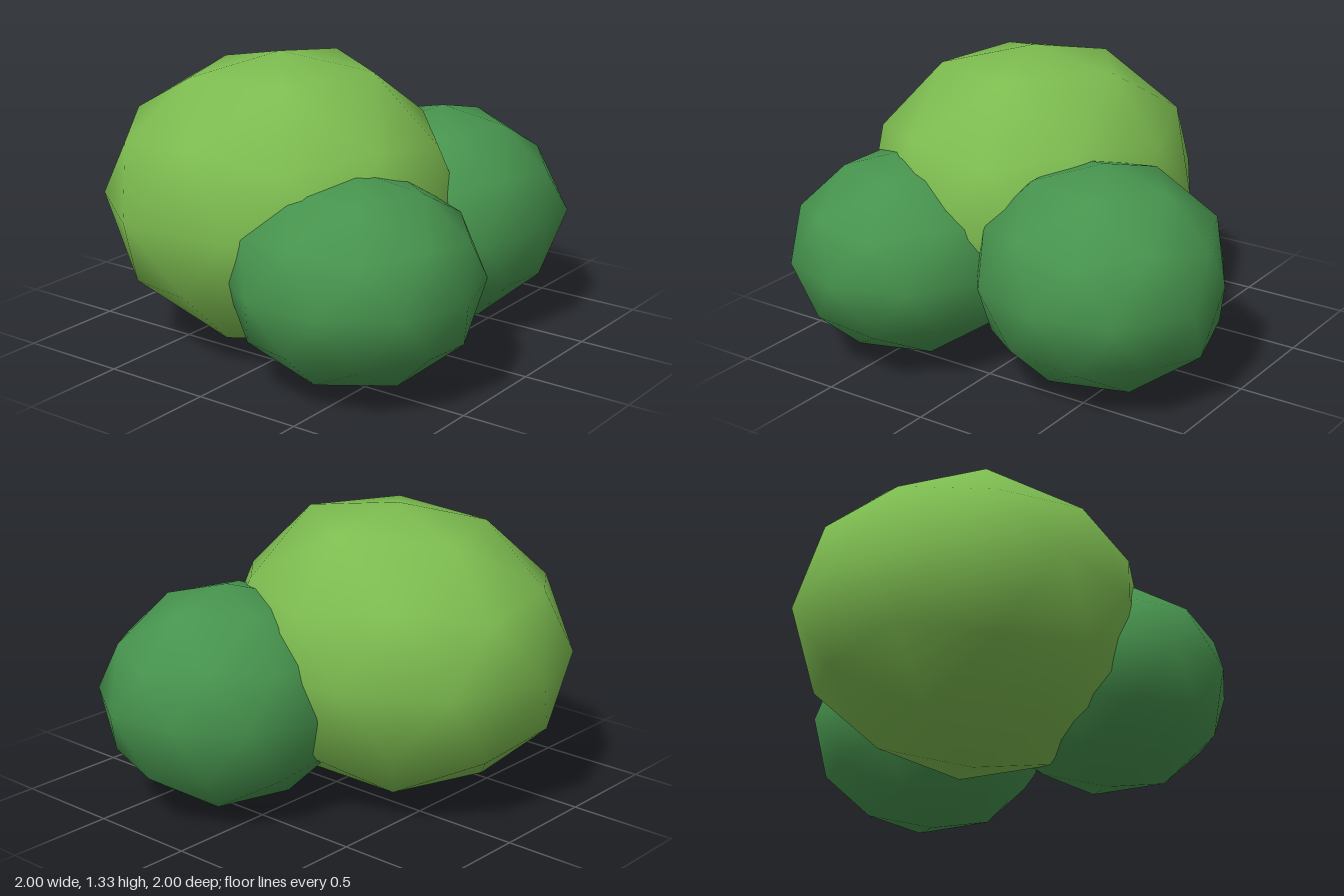
import * as THREE from 'three';
import { mergeVertices } from 'three/addons/utils/BufferGeometryUtils.js';

const lightLeaf = new THREE.MeshStandardMaterial({ name: 'lightLeafGreen', color: 0x7dbc50 });
const darkLeaf = new THREE.MeshStandardMaterial({ name: 'darkLeafGreen', color: 0x47944e });

// Low-poly ellipsoid with a corner at each pole; each tweak pulls the nearest corner to a point.
function leafBall(name, material, center, radii, tweaks = []) {
  let geometry = new THREE.IcosahedronGeometry(1, 1);
  geometry.deleteAttribute('normal');
  geometry.deleteAttribute('uv');
  geometry = mergeVertices(geometry, 1e-3);
  geometry.rotateZ(-Math.atan(2 / (1 + Math.sqrt(5))));
  geometry.scale(...radii);
  geometry.translate(...center);

  const position = geometry.attributes.position;
  const corner = new THREE.Vector3();
  for (const tweak of tweaks) {
    const target = new THREE.Vector3(...tweak);
    let nearest = 0;
    let best = Infinity;
    for (let i = 0; i < position.count; i++) {
      const d = corner.fromBufferAttribute(position, i).distanceTo(target);
      if (d < best) { best = d; nearest = i; }
    }
    position.setXYZ(nearest, ...tweak);
  }
  geometry.computeVertexNormals();

  const mesh = new THREE.Mesh(geometry, material);
  mesh.name = name;
  return mesh;
}

export function createModel() {
  const bush = new THREE.Group();
  bush.name = 'bush';

  // Large clump at the back
  bush.add(leafBall('largeBackClump', lightLeaf, [-0.22, 0.67, -0.17], [0.755, 0.665, 0.83], [
    [-0.97, 0.68, -0.44], [0.475, 0.68, -0.42], [-0.91, 0.67, 0.07],
    [-0.1, 1.275, 0.25], [0.2, 1.27, -0.17], [-0.55, 1.26, 0.09],
  ]));

  // Two smaller clumps in front
  bush.add(leafBall('leftFrontClump', darkLeaf, [0.44, 0.51, 0.26], [0.585, 0.508, 0.555], [
    [0.95, 0.51, 0.09], [0.79, 0.51, 0.74],
  ]));
  bush.add(leafBall('rightFrontClump', darkLeaf, [-0.48, 0.483, 0.43], [0.547, 0.468, 0.57]));

  return bush;
}
